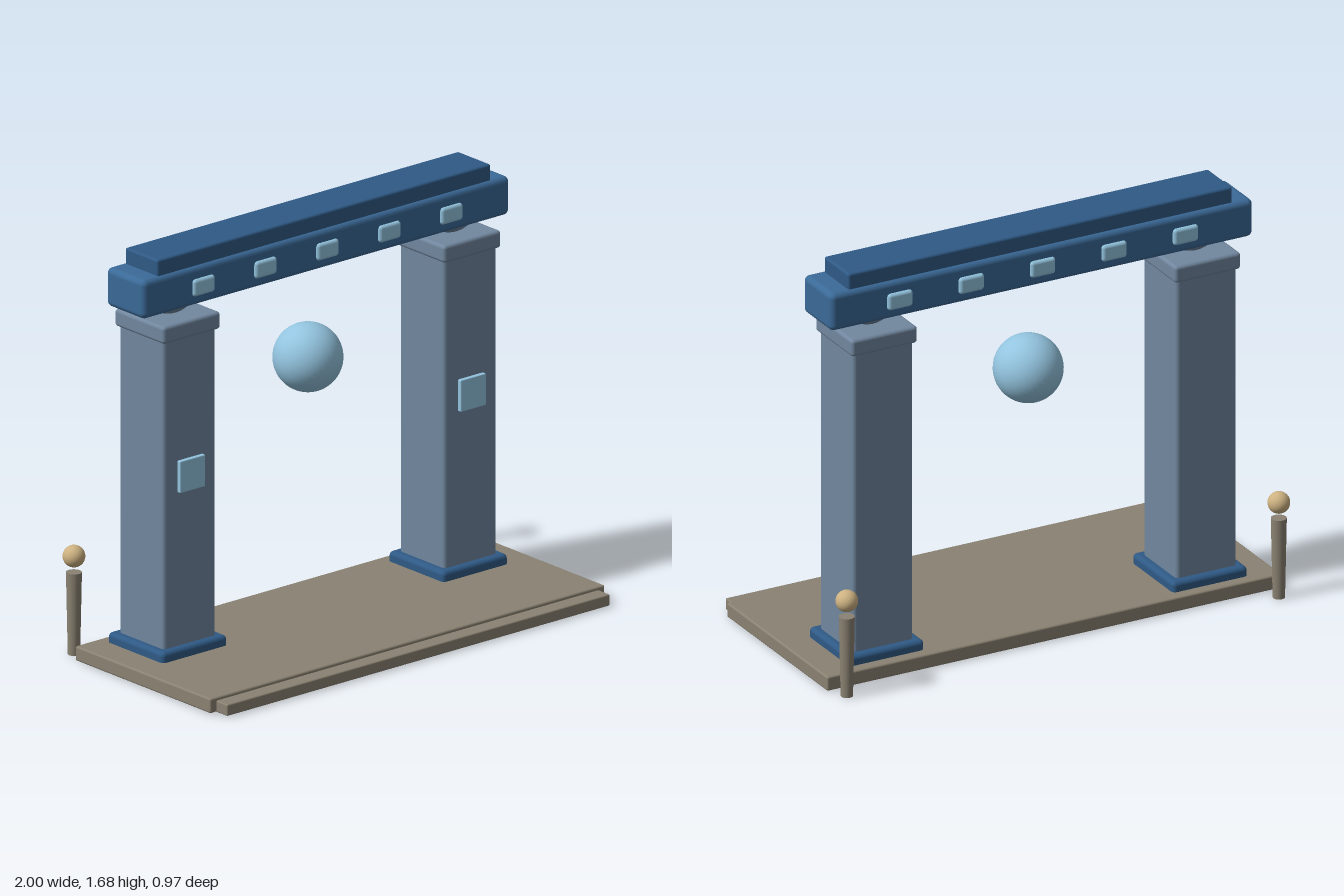
import * as THREE from 'three';
import { RoundedBoxGeometry } from 'three/addons/geometries/RoundedBoxGeometry.js';

const GATE_Z = -0.168; // depth line shared by pillars, beam and orb
const PILLAR_X = 0.711;

const paint = (color) => new THREE.MeshStandardMaterial({ color });
const stone = paint(0x8a8272);
const pillarBlue = paint(0x71879f);
const deepBlue = paint(0x3b6a98);
const darkBlue = paint(0x2f5a86);
const paleBlue = paint(0x93c4df);
const brass = paint(0xcdb282);

export function createModel() {
  const model = new THREE.Group();
  model.name = 'gate';

  function add(name, geometry, material, x, y, z) {
    const mesh = new THREE.Mesh(geometry, material);
    mesh.name = name;
    mesh.position.set(x, y, z);
    model.add(mesh);
    return mesh;
  }

  // Rounded block spanning y0..y1, centred on x and z
  function block(name, material, w, y0, y1, d, x, z, radius) {
    const geometry = new RoundedBoxGeometry(w, y1 - y0, d, 3, radius);
    return add(name, geometry, material, x, (y0 + y1) / 2, z);
  }

  function ball(name, material, r, x, y, z) {
    return add(name, new THREE.SphereGeometry(r, 40, 28), material, x, y, z);
  }

  // Ground slab, front step and sunken threshold
  block('platform', stone, 2, 0.002, 0.062, 0.8, 0, 0.022, 0.008);
  block('frontStep', stone, 1.94, 0.002, 0.049, 0.16, 0, 0.407, 0.006);
  add('threshold', new THREE.BoxGeometry(0.92, 0.03, 0.06), stone, 0, 0.015, -0.16);

  for (const [side, label] of [[1, 'left'], [-1, 'right']]) {
    const x = side * PILLAR_X;

    // Pillar with plinth, capital, glowing panel and ball bearing
    block(label + 'Plinth', darkBlue, 0.33, 0.02, 0.103, 0.33, x, GATE_Z, 0.018);
    block(label + 'Pillar', pillarBlue, 0.266, 0.07, 1.37, 0.266, x, GATE_Z, 0.016);
    block(label + 'Capital', pillarBlue, 0.29, 1.354, 1.425, 0.294, x, GATE_Z, 0.014);
    block(label + 'Panel', paleBlue, 0.128, 0.73, 0.86, 0.04, x, -0.038, 0.004);
    ball(label + 'Bearing', pillarBlue, 0.113, x, 1.53, GATE_Z);

    // Tapered lamp post behind the slab
    const post = new THREE.CylinderGeometry(0.031, 0.024, 0.335, 24);
    add(label + 'LampPost', post, stone, side * 0.95, 0.1675, -0.443);
    ball(label + 'LampBall', brass, 0.044, side * 0.95, 0.4, -0.443);
  }

  // Lintel and its upper course
  block('lintel', deepBlue, 1.86, 1.462, 1.621, 0.226, 0, GATE_Z, 0.024);
  block('upperBeam', darkBlue, 1.69, 1.6, 1.685, 0.194, 0, GATE_Z, 0.01);

  // Studs running through the lintel, showing on both faces
  for (let i = -2; i <= 2; i++) {
    block('lintelStud', paleBlue, 0.11, 1.502, 1.572, 0.252, i * 0.314, GATE_Z, 0.014);
  }

  // Floating orb
  ball('orb', paleBlue, 0.137, 0, 1.068, GATE_Z);

  return model;
}
